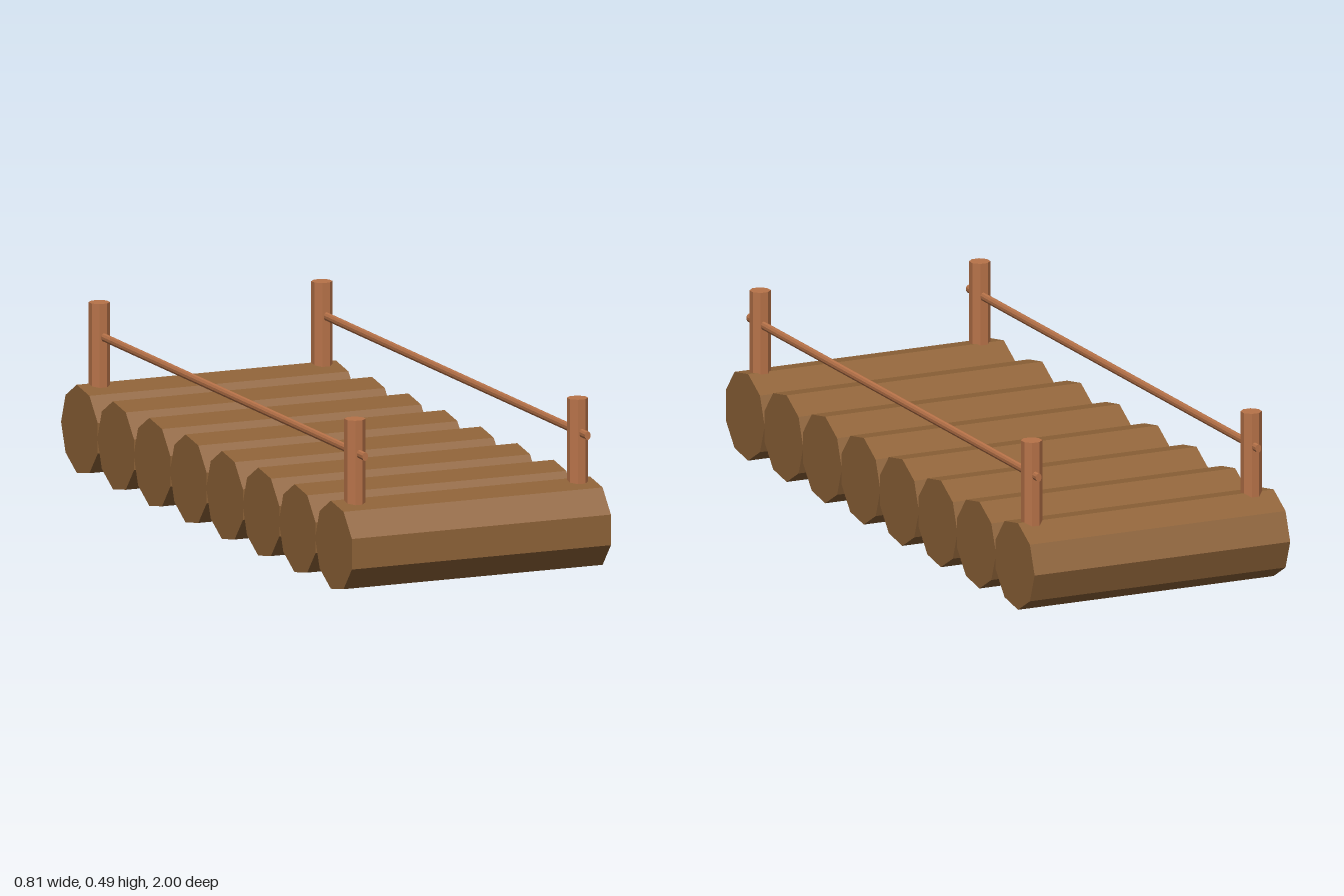
import * as THREE from 'three';

export function createModel() {
  const bridge = new THREE.Group();
  bridge.name = 'logFootbridge';
  const logWood = new THREE.MeshStandardMaterial({ color: 0x8f6338, flatShading: true });
  const postWood = new THREE.MeshStandardMaterial({ color: 0xb87349, flatShading: true });

  const add = (name, geometry, material, x, y, z) => {
    const mesh = new THREE.Mesh(geometry, material);
    mesh.name = name;
    mesh.position.set(x, y, z);
    bridge.add(mesh);
    return mesh;
  };

  // Deck: eight nine-sided logs lying across, a flat side facing the front
  const logGeo = new THREE.CylinderGeometry(0.13, 0.13, 0.81, 9);
  logGeo.rotateY(Math.PI / 9); // puts a flat side on +z
  logGeo.rotateZ(Math.PI / 2);
  for (let i = 0; i < 8; i++) {
    add('deckLog', logGeo, logWood, 0, 0.13, 0.878 - i * 0.2497);
  }

  // Corner posts standing on the end logs
  const postGeo = new THREE.CylinderGeometry(0.0305, 0.0305, 0.255, 8);
  postGeo.rotateY(Math.PI / 8);

  // Long thin poles, slightly taller than wide
  const poleGeo = new THREE.CylinderGeometry(0.0125, 0.0125, 1.875, 10);
  poleGeo.rotateX(Math.PI / 2);
  poleGeo.scale(0.75, 1, 1);

  for (const x of [-0.339, 0.357]) {
    for (const z of [0.876, -0.882]) add('cornerPost', postGeo, postWood, x, 0.3675, z);
    add('handRail', poleGeo, postWood, x + 0.002, 0.397, 0.005);
    add('underDeckPole', poleGeo, postWood, x + 0.002, 0.037, 0.005);
  }

  return bridge;
}
